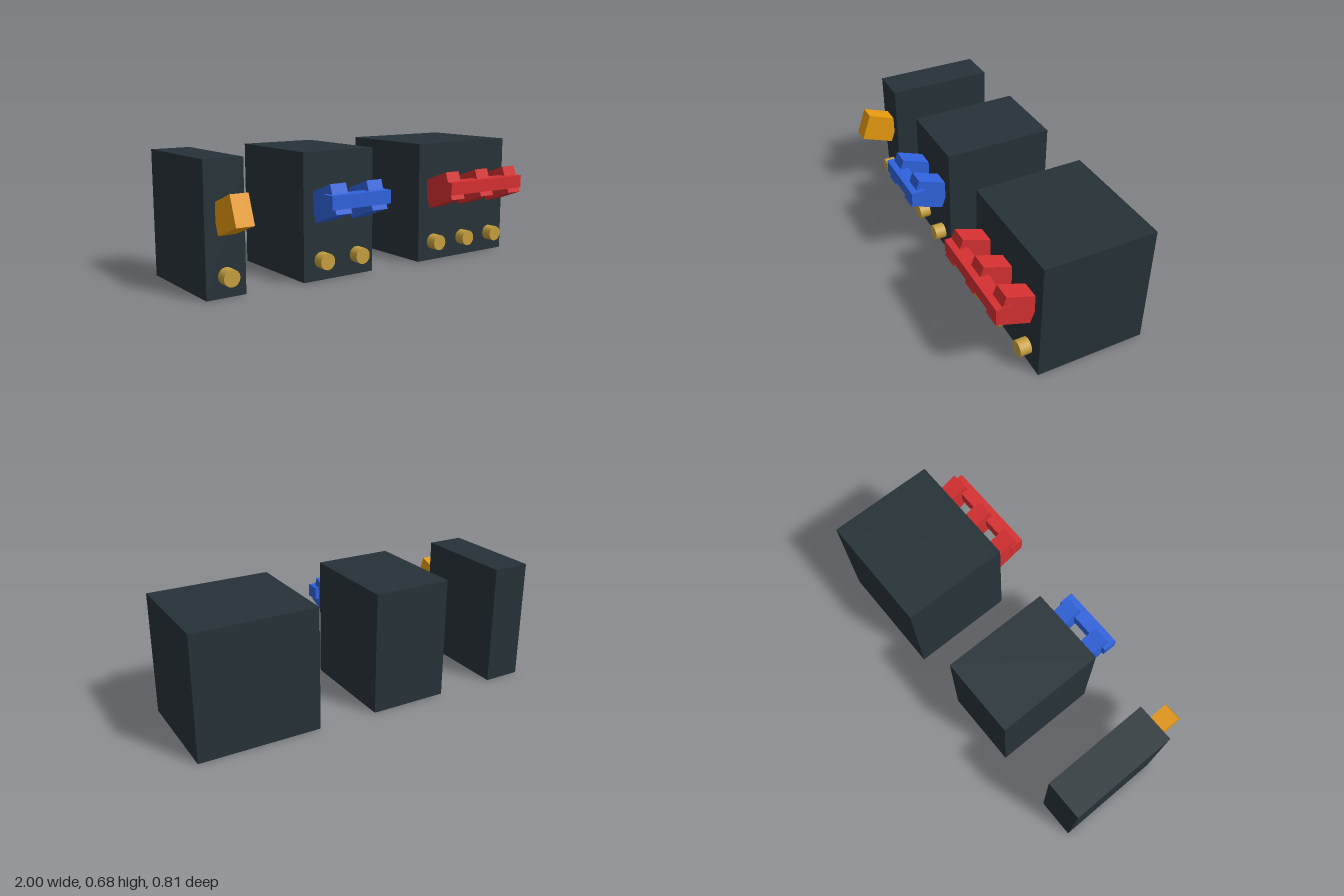
import * as THREE from 'three';

const mat = (name, color) => {
  const m = new THREE.MeshStandardMaterial({ color });
  m.name = name;
  return m;
};

export function createModel() {
  const charcoal = mat('charcoal housing', 0x263238);
  const brass = mat('brass', 0xc6a03f);
  const amber = mat('amber', 0xf0a010);
  const blue = mat('blue', 0x2f62dc);
  const red = mat('red', 0xd63031);

  const pitch = 0.226; // spacing between poles
  const bottomZ = -0.405, faceZ = 0.2, height = 0.678;

  const leverGeo = new THREE.BoxGeometry(0.097, 0.159, 0.195);
  const screwGeo = new THREE.CylinderGeometry(0.044, 0.044, 0.08, 16).rotateX(Math.PI / 2);

  const add = (parent, name, geo, material, x, y, z) => {
    const mesh = new THREE.Mesh(geo, material);
    mesh.name = name;
    mesh.position.set(x, y, z);
    parent.add(mesh);
    return mesh;
  };

  // One circuit breaker with a lever and terminal screw per pole
  const breaker = (name, poles, x, width, leverMaterial) => {
    const g = new THREE.Group();
    g.name = name;
    g.position.x = x;
    add(g, 'housing', new THREE.BoxGeometry(width, height, faceZ - bottomZ), charcoal,
      0, height / 2, (faceZ + bottomZ) / 2);
    for (let i = 0; i < poles; i++) {
      const px = (i - (poles - 1) / 2) * pitch;
      add(g, 'lever', leverGeo, leverMaterial, px, 0.421, 0.287).rotation.x = -0.35;
      add(g, 'terminalScrew', screwGeo, brass, px, 0.109, 0.222);
    }
    // Tie bar joining the levers
    if (poles > 1) {
      const barWidth = (poles - 1) * pitch + 0.142 - (poles - 2) * 0.036;
      add(g, 'tieBar', new THREE.BoxGeometry(barWidth, 0.071, 0.08), leverMaterial, 0, 0.441, 0.366);
    }
    return g;
  };

  const model = new THREE.Group();
  model.name = 'circuitBreakers';
  model.add(
    breaker('singlePoleBreaker', 1, -0.893, 0.214, amber),
    breaker('doublePoleBreaker', 2, -0.2275, 0.443, blue),
    breaker('triplePoleBreaker', 3, 0.664, 0.672, red),
  );
  return model;
}
